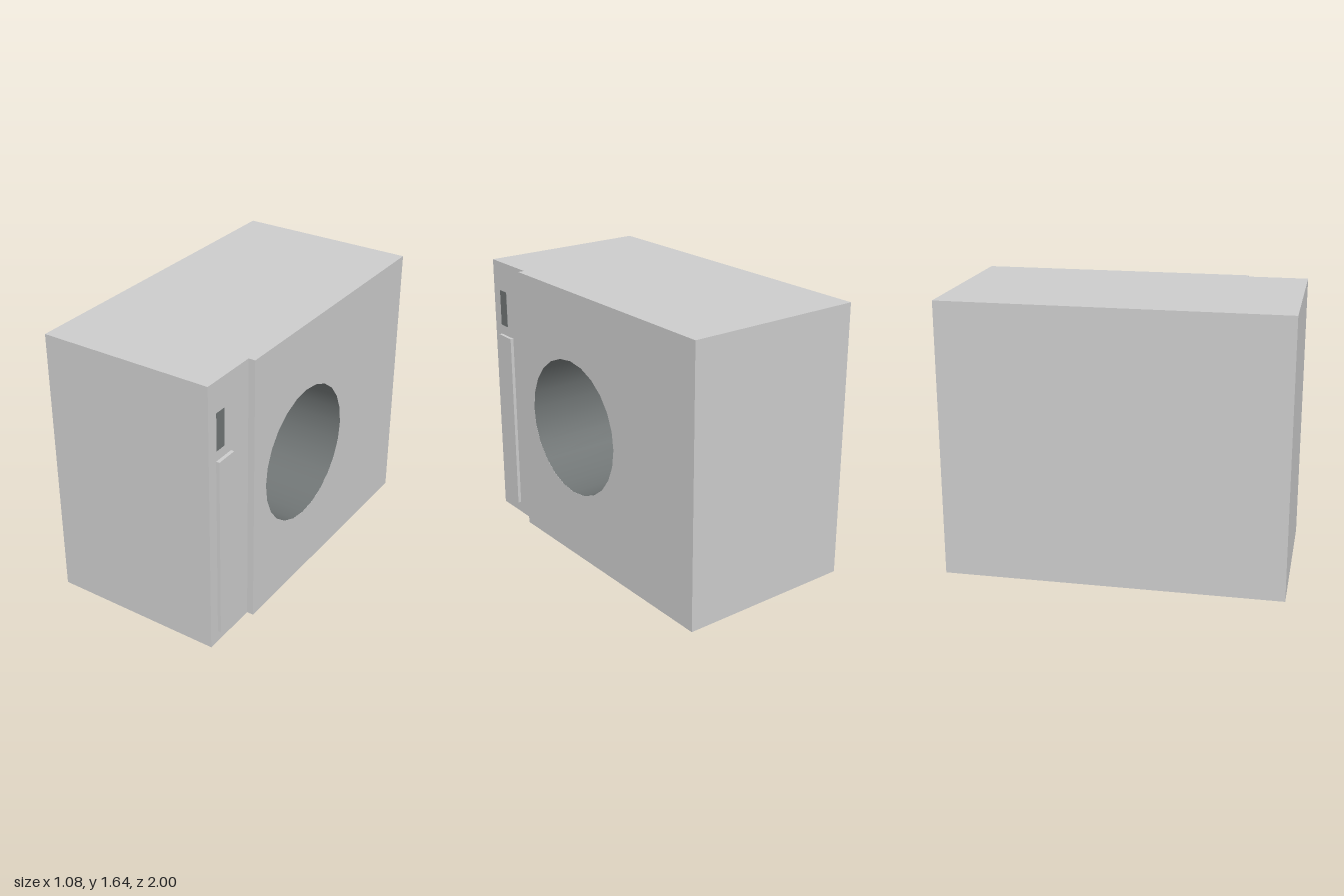
import * as THREE from 'three';

const HEIGHT = 1.64;
const BACK = -0.54, SIDE = 0.54; // x extents of the cabinet
const STEP = 0.64;               // z where the recessed front column begins
const HOLE = { y: 0.82, z: 0.11, r: 0.41, depth: 0.9 };

export function createModel() {
  const model = new THREE.Group();
  const grey = new THREE.MeshStandardMaterial({ color: 0xcccccc });
  const dark = new THREE.MeshStandardMaterial({ color: 0x6f7474 });
  const darkInside = new THREE.MeshStandardMaterial({ color: 0x6f7474, side: THREE.BackSide });

  const add = (name, geometry, material) => {
    const mesh = new THREE.Mesh(geometry, material);
    mesh.name = name;
    model.add(mesh);
    return mesh;
  };

  // Box given by its extents on each axis
  const addBox = (name, [x0, x1], [y0, y1], [z0, z1], material = grey) =>
    add(name, new THREE.BoxGeometry(x1 - x0, y1 - y0, z1 - z0), material)
      .position.set((x0 + x1) / 2, (y0 + y1) / 2, (z0 + z1) / 2);

  // Main cabinet: side outline with a round opening, extruded along x
  const floorX = SIDE - HOLE.depth;
  const outline = new THREE.Shape();
  outline.moveTo(-STEP, 0).lineTo(1, 0).lineTo(1, HEIGHT).lineTo(-STEP, HEIGHT).closePath();
  outline.holes.push(new THREE.Path().absarc(-HOLE.z, HOLE.y, HOLE.r, 0, Math.PI * 2, true));
  const cabinet = new THREE.ExtrudeGeometry(outline, {
    depth: HOLE.depth, bevelEnabled: false, curveSegments: 12,
  });
  cabinet.rotateY(Math.PI / 2).translate(floorX, 0, 0);
  add('cabinet', cabinet, grey);
  addBox('cabinetBack', [BACK, floorX], [0, HEIGHT], [-1, STEP]);

  // Dark lining and floor of the round opening
  const r = HOLE.r - 0.001;
  const lining = new THREE.CylinderGeometry(r, r, HOLE.depth, 24, 1, true).rotateZ(-Math.PI / 2);
  add('openingLining', lining, darkInside).position.set(floorX + HOLE.depth / 2, HOLE.y, HOLE.z);
  const floor = new THREE.CircleGeometry(HOLE.r, 24).rotateY(Math.PI / 2);
  add('openingFloor', floor, dark).position.set(floorX + 0.002, HOLE.y, HOLE.z);

  // Front column, set back from the side, with its raised strip and dark window
  addBox('frontColumn', [BACK, 0.5], [0, HEIGHT], [STEP, 1]);
  addBox('raisedStrip', [0.5, 0.52], [0.07, 1.18], [0.8, 0.935]);
  addBox('window', [0.49, 0.502], [1.24, 1.46], [0.86, 0.93], dark);

  return model;
}
